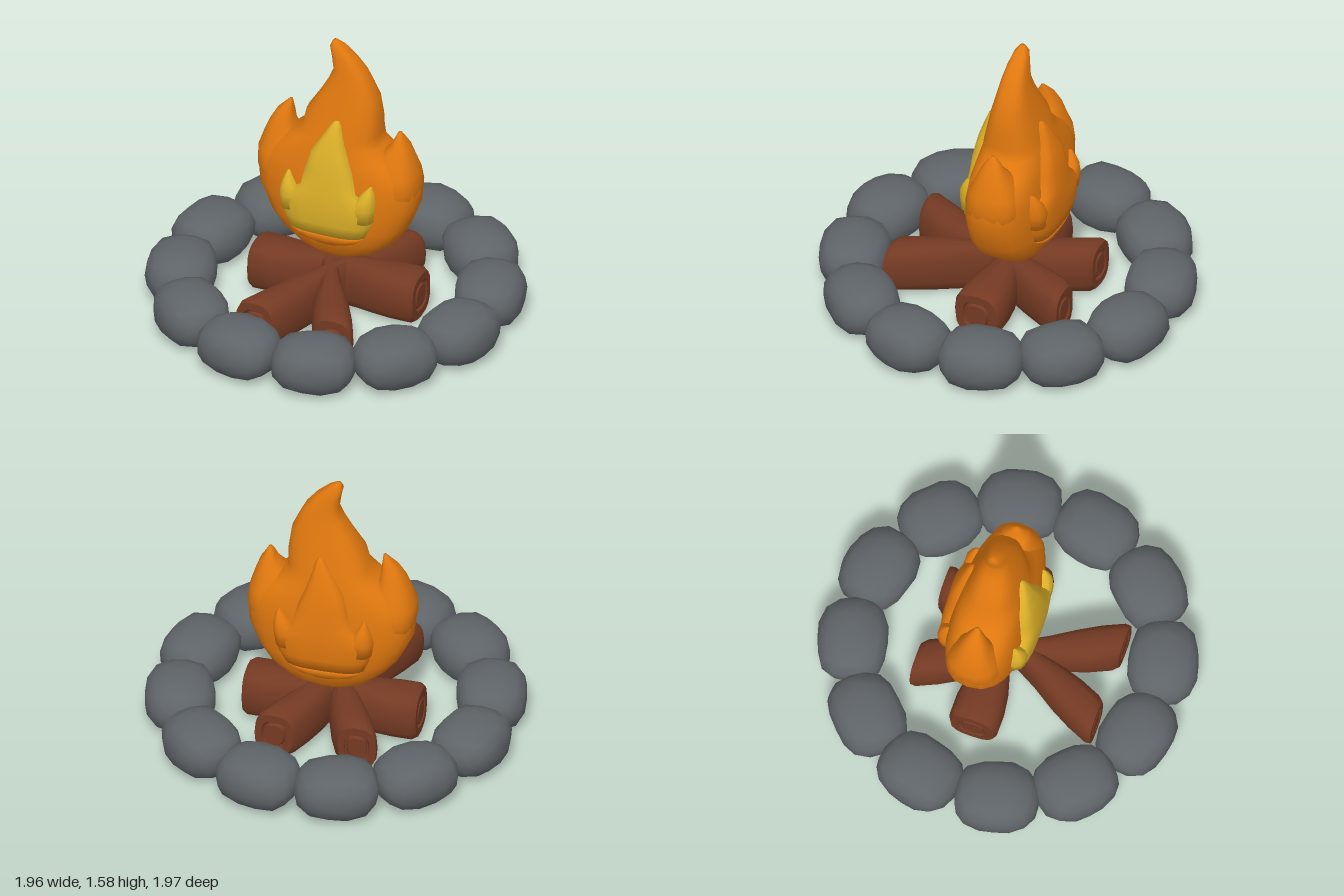
import * as THREE from 'three';
import { mergeVertices, toCreasedNormals } from 'three/addons/utils/BufferGeometryUtils.js';

const mat = (name, color) => {
  const m = new THREE.MeshStandardMaterial({ color });
  m.name = name;
  return m;
};
const spow = (v, e) => Math.sign(v) * Math.abs(v) ** e;

// Solid through rounded cross-sections [y, xLeft, xRight, zCentre, halfDepth], bottom to top
function loft(rings, e, n = 20) {
  const pos = [], idx = [];
  for (const [y, x0, x1, cz, d] of rings) {
    for (let j = 0; j < n; j++) {
      const a = (j / n) * Math.PI * 2;
      pos.push((x0 + x1) / 2 + ((x1 - x0) / 2) * spow(Math.cos(a), e), y, cz + d * spow(Math.sin(a), e));
    }
  }
  const last = (rings.length - 1) * n, bottom = rings.length * n;
  for (const r of [rings[0], rings[rings.length - 1]]) pos.push((r[1] + r[2]) / 2, r[0], r[3]);
  for (let j = 0; j < n; j++) {
    const k = (j + 1) % n;
    for (let i = 0; i < last; i += n) {
      idx.push(i + j, i + n + j, i + k, i + k, i + n + j, i + n + k);
    }
    idx.push(bottom, j, k, bottom + 1, last + k, last + j);
  }
  const g = new THREE.BufferGeometry();
  g.setAttribute('position', new THREE.Float32BufferAttribute(pos, 3));
  g.setIndex(idx);
  g.computeVertexNormals();
  return g;
}

// Boxy, slightly irregular rounded stone
function stoneGeometry(seed) {
  let g = new THREE.IcosahedronGeometry(1, 2);
  g.deleteAttribute('uv');
  g.deleteAttribute('normal');
  g = mergeVertices(g);
  const p = g.attributes.position, v = new THREE.Vector3(), q = 2.7;
  for (let i = 0; i < p.count; i++) {
    v.fromBufferAttribute(p, i);
    const s = (Math.abs(v.x) ** q + Math.abs(v.y) ** q + Math.abs(v.z) ** q) ** (-1 / q);
    const bump = 1 + 0.025 * Math.sin(v.x * 5 + seed * 2.1) * Math.cos(v.z * 4 + v.y * 3 + seed);
    v.multiplyScalar(s * bump);
    p.setXYZ(i, v.x * 0.222, v.y * 0.142, v.z * 0.185);
  }
  g.computeVertexNormals();
  return g;
}

// Squarish log along z with grooved ends, a narrow waist and a sideways slant
function logGeometry(length, width, slant) {
  const half = [[0, 0.5], [0.42, 0.5], [0.47, 0.485], [0.54, 0.485], [0.59, 0.5], [0.88, 0.5],
    [1, 0.47], [1, 0.36], [1, 0.25], [1, 0.12]];
  const pts = [...half.map(([r, y]) => [r, -y]), [1, 0], ...half.slice().reverse()]
    .map(([r, y]) => new THREE.Vector2(r, y));
  const g = new THREE.LatheGeometry(pts, 16);
  g.rotateX(Math.PI / 2);
  const p = g.attributes.position;
  for (let i = 0; i < p.count; i++) {
    const x = p.getX(i), y = p.getY(i), z = p.getZ(i);
    const r = Math.hypot(x, y) || 1;
    const waist = 0.5 + 0.5 * THREE.MathUtils.smoothstep(Math.abs(z), 0, 0.36);
    p.setXYZ(i,
      r * spow(x / r, 0.72) * (width / 2) * waist + slant * z * length,
      r * spow(y / r, 0.72) * 0.142,
      z * length);
  }
  return toCreasedNormals(g, 0.7);
}

export function createModel() {
  const model = new THREE.Group();
  model.name = 'campfire';
  const stoneGrey = mat('stoneGrey', 0x5f6468);
  const barkBrown = mat('barkBrown', 0x743a23);
  const flameOrange = mat('flameOrange', 0xe0780f);
  const flameYellow = mat('flameYellow', 0xdcb028);

  const group = (name) => {
    const g = new THREE.Group();
    g.name = name;
    model.add(g);
    return g;
  };
  const add = (parent, name, geometry, material) => {
    const m = new THREE.Mesh(geometry, material);
    m.name = name;
    parent.add(m);
    return m;
  };

  // Ring of stones
  const ring = group('stoneRing');
  for (let i = 0; i < 12; i++) {
    const a = ((i + 0.5) / 12) * Math.PI * 2;
    const s = add(ring, 'stone', stoneGeometry(i), stoneGrey);
    s.position.set(Math.sin(a) * 0.815, 0.152, Math.cos(a) * 0.815);
    s.rotation.y = a;
  }

  // Crossed logs
  const logs = group('logs');
  const cross = add(logs, 'crossLog', logGeometry(0.94, 0.27, 0), barkBrown);
  cross.rotation.y = Math.PI / 2;
  cross.position.set(0, 0.157, -0.035);
  for (const s of [-1, 1]) {
    add(logs, 'slantedLog', logGeometry(1, 0.235, s * 0.45), barkBrown).position.set(0, 0.157, 0.07);
  }

  // Large flame: body and two side tongues
  const flame = group('outerFlame');
  const Z = -0.07;
  const body = [
    [0.3, -0.04, 0.04, 0.03], [0.33, -0.13, 0.12, 0.1], [0.38, -0.22, 0.235, 0.15],
    [0.46, -0.31, 0.33, 0.185], [0.55, -0.38, 0.39, 0.2], [0.68, -0.44, 0.44, 0.205],
    [0.8, -0.45, 0.45, 0.2], [0.88, -0.42, 0.42, 0.19], [0.95, -0.35, 0.33, 0.18],
    [1.02, -0.265, 0.24, 0.168], [1.08, -0.2, 0.23, 0.155], [1.17, -0.18, 0.23, 0.132],
    [1.28, -0.11, 0.215, 0.105], [1.36, -0.065, 0.18, 0.085], [1.43, -0.035, 0.145, 0.07],
    [1.5, -0.045, 0.09, 0.055], [1.56, -0.058, 0.025, 0.038], [1.59, -0.045, -0.02, 0.015],
  ];
  add(flame, 'flameBody', loft(body.map(([y, a, b, d]) => [y, a, b, Z, d]), 0.75, 24), flameOrange);
  const sideTongues = {
    leftTongue: [[0.65, 0.2, 0.42, 0.13], [0.8, 0.2, 0.452, 0.15], [0.88, 0.2, 0.44, 0.135],
      [0.96, 0.21, 0.415, 0.1], [1.03, 0.29, 0.39, 0.065], [1.08, 0.31, 0.36, 0.035], [1.11, 0.325, 0.345, 0.012]],
    rightTongue: [[0.65, -0.42, -0.2, 0.13], [0.8, -0.455, -0.2, 0.15], [0.88, -0.455, -0.2, 0.135],
      [0.97, -0.425, -0.22, 0.1], [1.03, -0.4, -0.262, 0.08], [1.1, -0.36, -0.268, 0.05], [1.17, -0.293, -0.276, 0.01]],
  };
  for (const [name, rows] of Object.entries(sideTongues)) {
    add(flame, name, loft(rows.map(([y, a, b, d]) => [y, a, b, Z, d]), 0.85), flameOrange);
  }

  // Small flames on the front and back; rows are [y, xLeft, xRight, zFront, halfDepth]
  const scoop = [[0.45, -0.08, 0.08, 0.125, 0.06], [0.48, -0.17, 0.16, 0.152, 0.08], [0.53, -0.222, 0.215, 0.17, 0.1]];
  const heart = [
    [0.53, -0.222, 0.215, 0.17, 0.1], [0.6, -0.25, 0.25, 0.183, 0.11], [0.68, -0.268, 0.268, 0.187, 0.11],
    [0.74, -0.25, 0.25, 0.185, 0.11], [0.79, -0.155, 0.17, 0.182, 0.11], [0.9, -0.13, 0.145, 0.17, 0.1],
    [1, -0.1, 0.105, 0.15, 0.09], [1.1, -0.035, 0.072, 0.115, 0.07], [1.15, -0.005, 0.06, 0.095, 0.05],
    [1.18, 0.02, 0.045, 0.075, 0.02],
  ];
  const smallLeft = [[0.64, 0.13, 0.262, 0.17, 0.09], [0.72, 0.13, 0.272, 0.175, 0.09],
    [0.77, 0.17, 0.272, 0.168, 0.075], [0.81, 0.2, 0.265, 0.15, 0.05], [0.85, 0.237, 0.25, 0.125, 0.02]];
  const smallRight = [[0.64, -0.262, -0.13, 0.17, 0.09], [0.72, -0.272, -0.13, 0.175, 0.09],
    [0.77, -0.26, -0.165, 0.168, 0.075], [0.81, -0.245, -0.19, 0.15, 0.05], [0.85, -0.226, -0.214, 0.125, 0.02]];
  for (const [side, colour] of [['front', flameYellow], ['back', flameOrange]]) {
    const g = group(side + 'Flame');
    const place = (rows) => rows.map(([y, a, b, zf, d]) =>
      [y, a, b, side === 'front' ? zf - d : 2 * Z - zf + d, d]);
    add(g, 'smallFlameBase', loft(place(scoop), 0.65), flameOrange);
    add(g, 'smallFlameBody', loft(place(heart), 0.65), colour);
    add(g, 'smallLeftTongue', loft(place(smallLeft), 0.75, 14), colour);
    add(g, 'smallRightTongue', loft(place(smallRight), 0.75, 14), colour);
  }
  return model;
}
